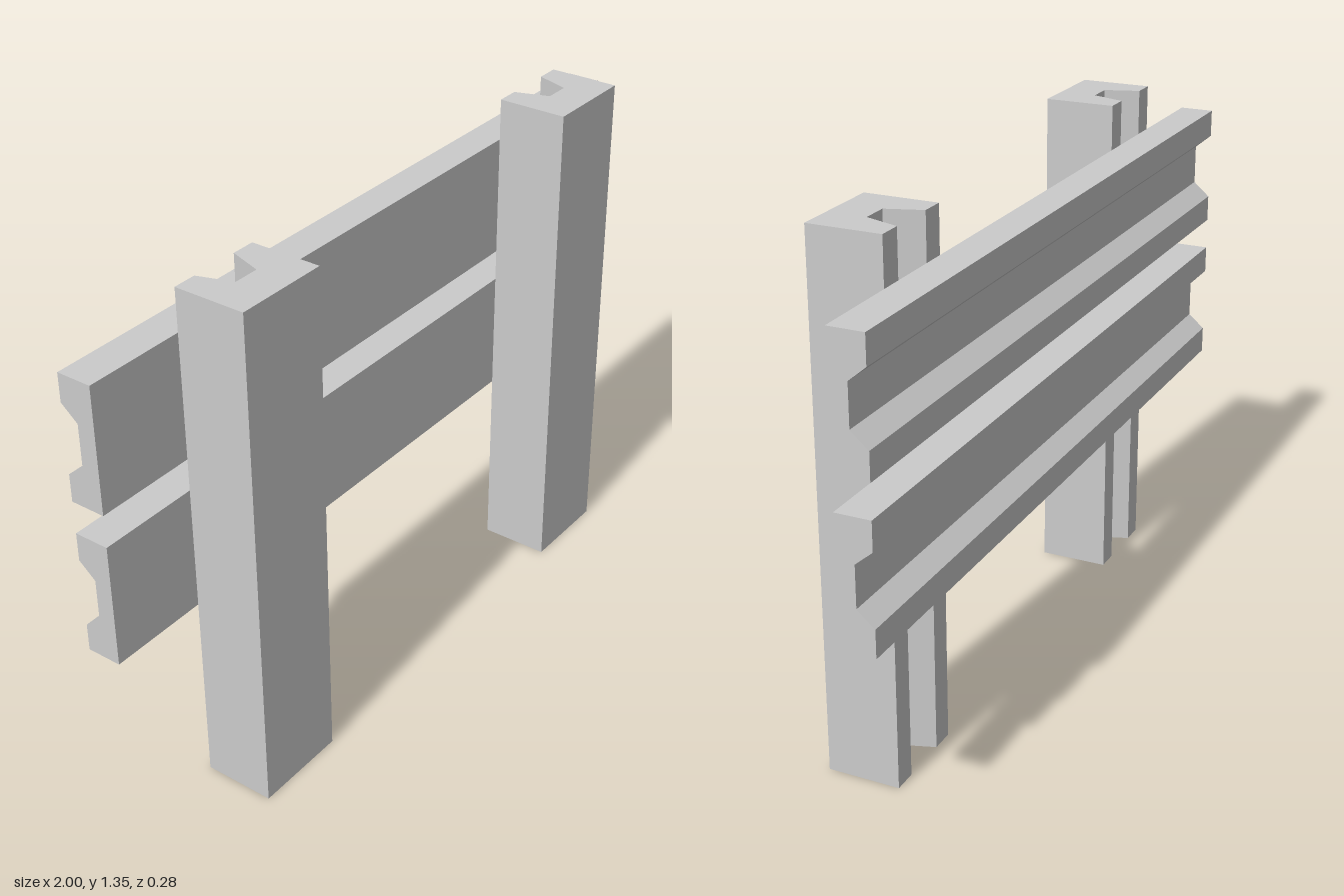
import * as THREE from 'three';

const material = new THREE.MeshStandardMaterial({ color: 0xcccccc, flatShading: true });

// Straight prism from a 2D outline, starting at z = 0
function prism(points, length) {
  const shape = new THREE.Shape(points.map(([x, y]) => new THREE.Vector2(x, y)));
  return new THREE.ExtrudeGeometry(shape, { depth: length, bevelEnabled: false });
}

export function createModel() {
  const model = new THREE.Group();
  model.name = 'guardRail';

  function add(name, geometry, x, y) {
    const mesh = new THREE.Mesh(geometry, material);
    mesh.name = name;
    mesh.position.set(x, y, 0);
    model.add(mesh);
  }

  // Upright posts: tapered groove along the back, outline drawn as (x, -z)
  const front = -0.143, back = 0.044, grooveFloor = -0.045, half = 0.126;
  const postGeometry = prism([
    [-half, front], [half, front], [half, back], [0.064, back],
    [0.034, grooveFloor], [-0.034, grooveFloor], [-0.064, back], [-half, back],
  ], 1.352).rotateX(-Math.PI / 2);
  add('rightPost', postGeometry, -0.613, 0);
  add('leftPost', postGeometry, 0.624, 0);

  // Horizontal rails: flat front, chamfered channel in the back, outline drawn as (-z, y)
  const railGeometry = prism([
    [0.05, -0.162], [0.141, -0.162], [0.141, -0.091], [0.097, -0.053],
    [0.097, 0.052], [0.141, 0.089], [0.141, 0.162], [0.05, 0.162],
  ], 2).translate(0, 0, -1).rotateY(Math.PI / 2);
  add('upperRail', railGeometry, 0, 1.075);
  add('lowerRail', railGeometry, 0, 0.667);

  return model;
}
